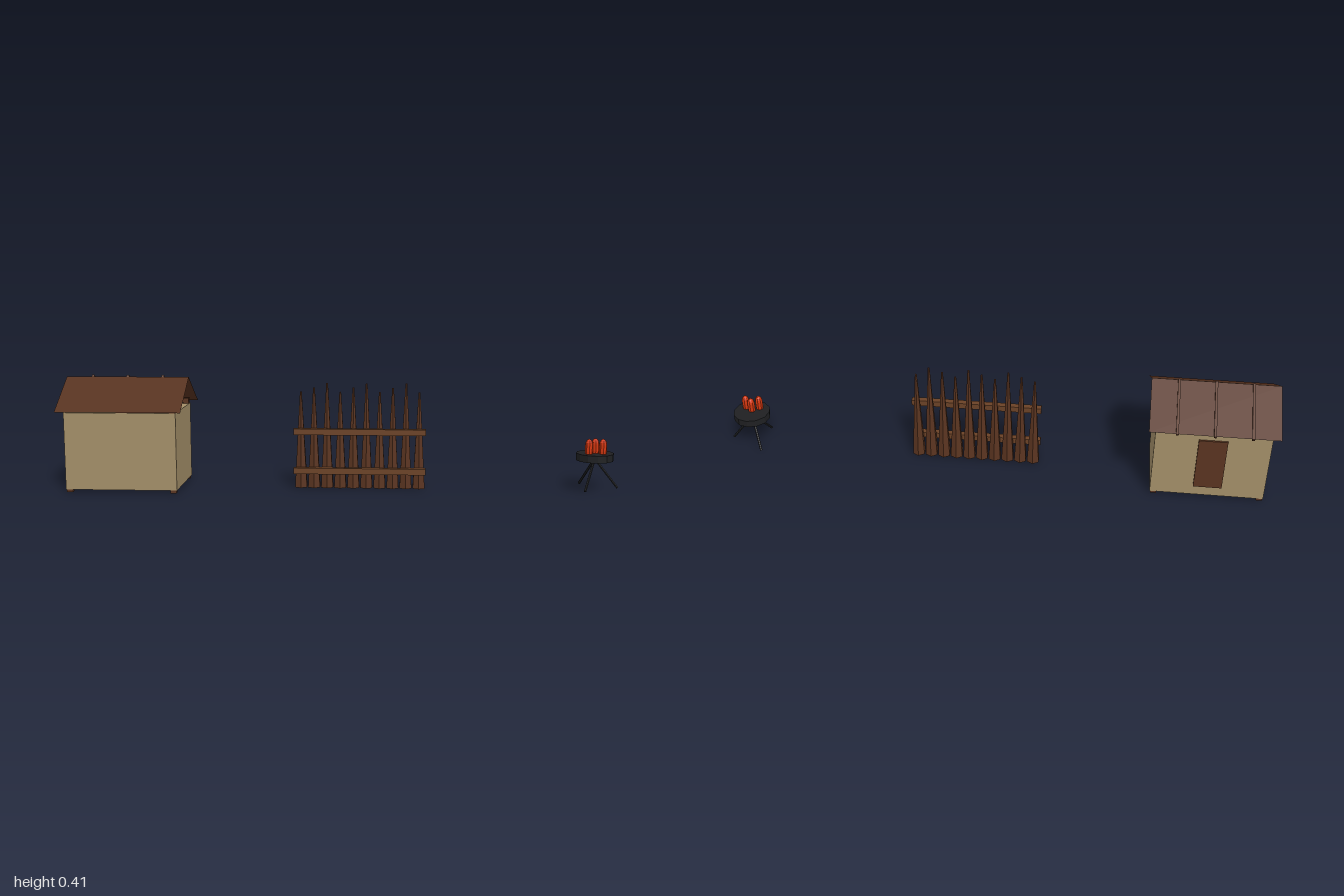
import * as THREE from 'three';

const mat = (name, color, extra = {}) => {
  const m = new THREE.MeshStandardMaterial({ color, flatShading: true, ...extra });
  m.name = name;
  return m;
};

export function createModel() {
  const wall = mat('tan wall', 0xa38e68);
  const darkWood = mat('dark wood', 0x5a3420);
  const railWood = mat('rail wood', 0x6b4226);
  const roofWood = mat('roof wood', 0x56311e, { side: THREE.DoubleSide });
  const iron = mat('black iron', 0x1f2022);
  const flameRed = mat('flame red', 0xd2360f);

  const model = new THREE.Group();
  model.name = 'camp';
  const group = (name, x) => {
    const g = new THREE.Group();
    g.name = name;
    g.position.set(x, 0, 0.003);
    model.add(g);
    return g;
  };
  const add = (parent, name, geometry, material, x, y, z) => {
    const m = new THREE.Mesh(geometry, material);
    m.name = name;
    m.position.set(x, y, z);
    parent.add(m);
    return m;
  };
  const box = (w, h, d) => new THREE.BoxGeometry(w, h, d);

  // Hut: solid body, corner posts, door at the back
  const hut = group('hut', -0.7765);
  add(hut, 'hutBody', box(0.4, 0.277, 0.285), wall, 0, 0.1485, 0);
  for (const sx of [-1, 1]) for (const sz of [-1, 1]) {
    add(hut, 'cornerPost', box(0.0213, 0.307, 0.0213), darkWood, sx * 0.187, 0.1535, sz * 0.129);
  }
  add(hut, 'door', box(0.1, 0.203, 0.012), darkWood, 0, 0.1515, -0.143);

  // Gable roof: two thin sheets, ribs on the back slope
  const run = 0.173, rise = 0.107, ridgeY = 0.4;
  const slope = Math.hypot(run, rise), pitch = Math.atan2(rise, run);
  for (const s of [-1, 1]) {
    const sheet = new THREE.PlaneGeometry(0.447, slope);
    sheet.rotateX(-Math.PI / 2);
    add(hut, 'roofSheet', sheet, roofWood, 0, ridgeY - rise / 2, s * run / 2)
      .rotation.x = s * pitch;
  }
  for (const x of [-0.128, 0, 0.128]) {
    add(hut, 'roofRib', box(0.009, 0.012, slope + 0.004), darkWood, x, ridgeY - rise / 2, -run / 2 - 0.002)
      .rotation.x = -pitch;
  }

  // Palisade: ten tapered stakes with two rails in front
  const fence = group('palisade', 0.068);
  for (let i = 0; i < 10; i++) {
    const h = 0.35 + (i % 3) * 0.0155;
    add(fence, 'stake', new THREE.CylinderGeometry(0.0036, 0.025, h, 6),
      darkWood, (i - 4.5) * 0.0475, h / 2, 0);
  }
  for (const y of [0.066, 0.209]) {
    add(fence, 'rail', box(0.476, 0.022, 0.022), railWood, 0, y, 0.031);
  }

  // Brazier: shallow round pan on three splayed legs
  const brazier = group('brazier', 0.912);
  add(brazier, 'pan', new THREE.CylinderGeometry(0.067, 0.067, 0.026, 12), iron, 0, 0.1225, 0);
  const up = new THREE.Vector3(0, 1, 0);
  for (let i = 0; i < 3; i++) {
    const a = i * Math.PI * 2 / 3;
    const top = new THREE.Vector3(0, 0.115, 0);
    const foot = new THREE.Vector3(Math.cos(a) * 0.084, 0.009, Math.sin(a) * 0.084);
    const mid = top.clone().add(foot).multiplyScalar(0.5);
    const leg = add(brazier, 'leg', new THREE.CylinderGeometry(0.0046, 0.0046, top.distanceTo(foot), 6),
      iron, mid.x, mid.y, mid.z);
    leg.quaternion.setFromUnitVectors(up, top.sub(foot).normalize());
  }

  // Flames: tall rounded lobes rising from the pan
  for (const [x, z] of [[-0.025, 0.021], [0, 0.003], [0.025, 0.018]]) {
    const lobe = new THREE.CapsuleGeometry(0.0138, 0.016, 4, 8);
    lobe.scale(1, 1.5, 1);
    add(brazier, 'flame', lobe, flameRed, x, 0.157, z);
  }
  return model;
}
